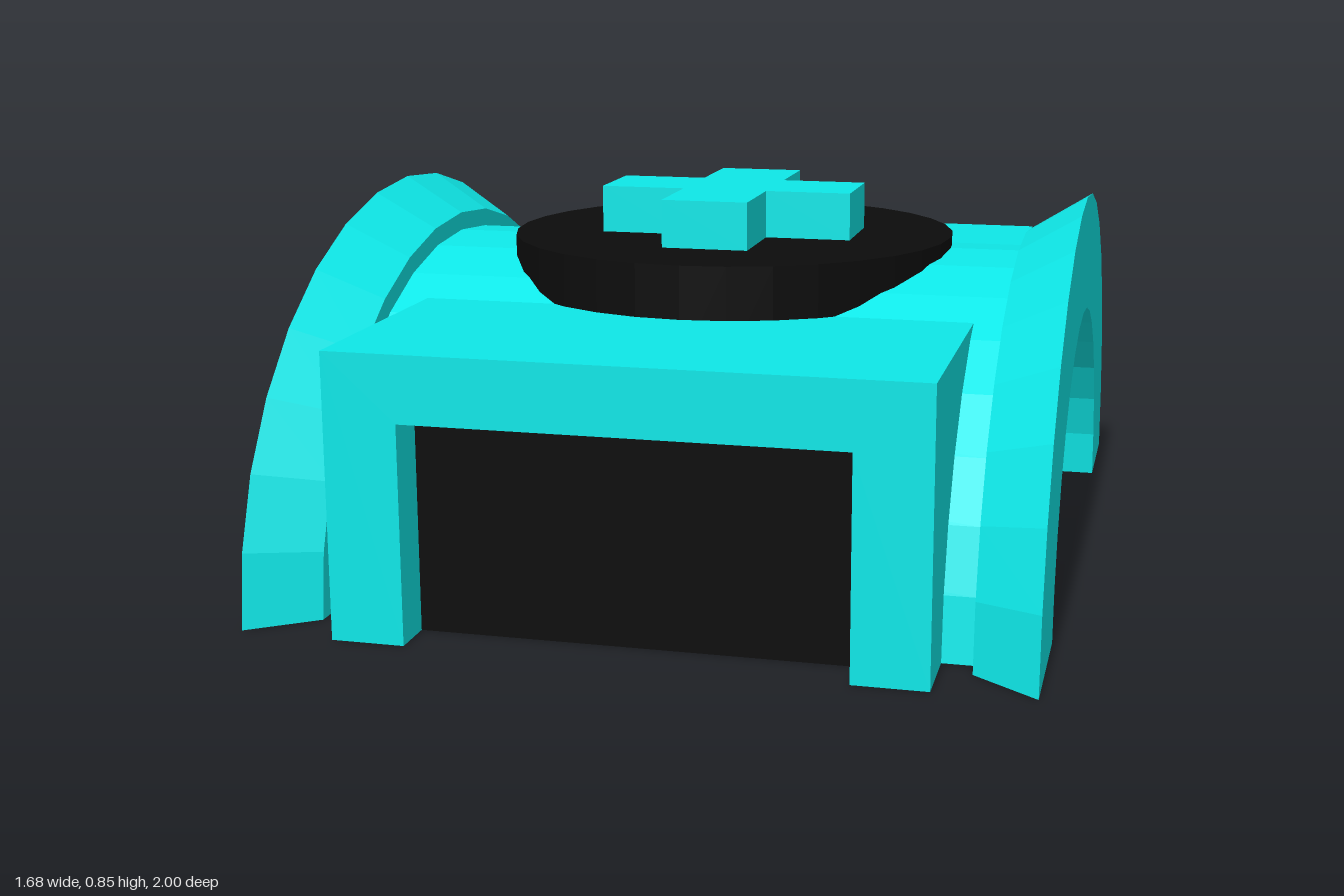
import * as THREE from 'three';

const teal = new THREE.MeshStandardMaterial({ color: 0x0ee8e8, flatShading: true });
const black = new THREE.MeshStandardMaterial({ color: 0x0c0c0c, flatShading: true });

const toShape = (pts) => new THREE.Shape(pts.map(([x, y]) => new THREE.Vector2(x, y)));
const extrude = (pts, depth) => new THREE.ExtrudeGeometry(toShape(pts), { depth, bevelEnabled: false });

// Sweeps a closed section of [x, z radius, y radius] over a half ellipse.
function sweepArch(section, segments) {
  const n = section.length, pos = [], index = [];
  for (let i = 0; i <= segments; i++) {
    const t = (Math.PI * i) / segments;
    for (const [x, rz, ry] of section) pos.push(x, ry * Math.sin(t), rz * Math.cos(t));
  }
  for (let i = 0; i < segments; i++) {
    for (let j = 0; j < n; j++) {
      const a = i * n + j, b = i * n + ((j + 1) % n);
      index.push(a, b + n, b, a, a + n, b + n);
    }
  }
  // Flat feet at both ends
  const contour = section.map(([x, rz]) => new THREE.Vector2(x, rz));
  const last = segments * n;
  for (const [a, b, c] of THREE.ShapeUtils.triangulateShape(contour, [])) {
    index.push(a, b, c, last + a, last + c, last + b);
  }
  const geo = new THREE.BufferGeometry();
  geo.setAttribute('position', new THREE.Float32BufferAttribute(pos, 3));
  geo.setIndex(index);
  const flat = geo.toNonIndexed();
  flat.computeVertexNormals();
  return flat;
}

export function createModel() {
  const group = new THREE.Group();
  const add = (parent, name, geo, mat) => {
    const mesh = new THREE.Mesh(geo, mat);
    mesh.name = name;
    parent.add(mesh);
    return mesh;
  };

  // Arched band with a flared rim on each side
  add(group, 'archBand', sweepArch([
    [-0.84, 0.67, 0.572], [0.84, 0.67, 0.572], [0.84, 0.992, 0.845], [0.7, 0.89, 0.758],
    [0.7, 0.84, 0.715], [-0.7, 0.84, 0.715], [-0.7, 0.89, 0.758], [-0.84, 0.992, 0.845],
  ], 16), teal);

  // End blocks, each with a recessed dark panel
  for (const [name, turn] of [['frontBlock', 0], ['backBlock', Math.PI]]) {
    const block = new THREE.Group();
    block.name = name;
    block.rotation.y = turn;
    const body = extrude([
      [0.67, 0], [0.88, 0], [0.88, 0.62], [0.3, 0.62], [0, 0.53], [0, 0.525], [0.53, 0.36], [0.615, 0.22],
    ], 1.26);
    body.rotateY(-Math.PI / 2).translate(0.63, 0, 0);
    add(block, 'blockBody', body, teal);

    const frame = extrude([
      [-0.63, 0], [-0.47, 0], [-0.47, 0.475], [0.47, 0.475], [0.47, 0], [0.63, 0], [0.63, 0.62], [-0.63, 0.62],
    ], 0.12);
    add(block, 'blockFrame', frame.translate(0, 0, 0.88), teal);
    add(block, 'darkPanel', new THREE.BoxGeometry(0.94, 0.475, 0.02), black).position.set(0, 0.2375, 0.89);
    group.add(block);
  }

  // Round plate on the crown
  add(group, 'roundPlate', new THREE.CylinderGeometry(0.525, 0.525, 0.225, 32), black).position.y = 0.6275;

  // Raised cross
  const a = 0.1, b = 0.3;
  const cross = extrude([
    [-a, -b], [a, -b], [a, -a], [b, -a], [b, a], [a, a], [a, b], [-a, b], [-a, a], [-b, a], [-b, -a], [-a, -a],
  ], 0.11);
  add(group, 'raisedCross', cross.rotateX(-Math.PI / 2).translate(0, 0.74, 0), teal);

  return group;
}
